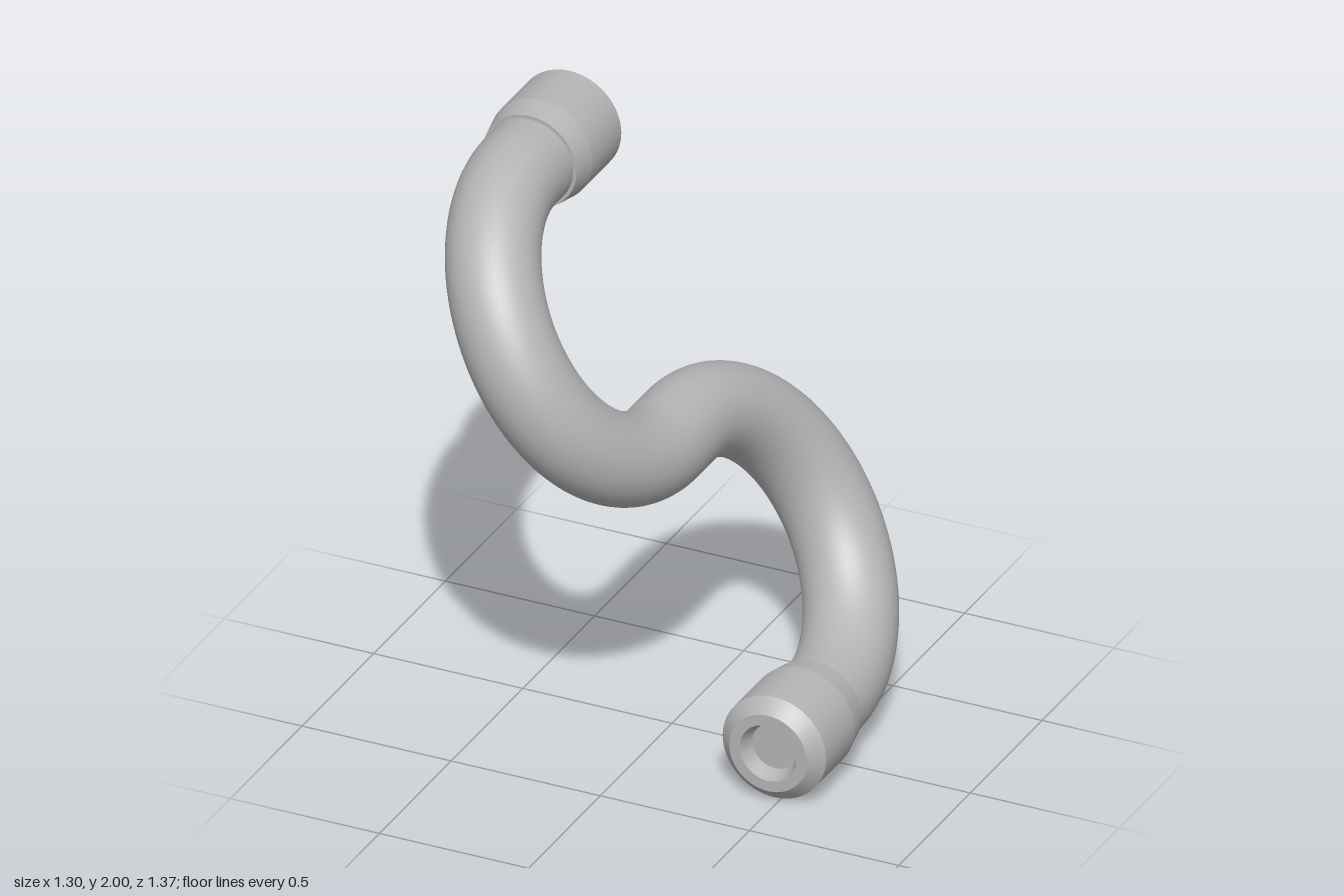
import * as THREE from 'three';
import { toCreasedNormals } from 'three/addons/utils/BufferGeometryUtils.js';

const BEND = 0.4775;     // bend radius of the centre line
const STRAIGHT = 0.062;  // straight run before and after each bend
const PIPE = 0.146;      // pipe radius
const TILT = Math.PI / 6; // lean of the S in the front plane

// S-shaped centre line: two half-circle bends in a tilted plane
class SCurve extends THREE.Curve {
  getPoint(t, target = new THREE.Vector3()) {
    const arc = Math.PI * BEND;
    const half = arc + 2 * STRAIGHT;
    const side = t < 0.5 ? -1 : 1; // lower bend goes to -z, upper to +z
    const d = (t < 0.5 ? t : t - 0.5) * 2 * half;
    let along, depth;
    if (d < STRAIGHT) {
      along = -BEND;
      depth = d;
    } else if (d < STRAIGHT + arc) {
      const a = (d - STRAIGHT) / BEND;
      along = -BEND * Math.cos(a);
      depth = STRAIGHT + BEND * Math.sin(a);
    } else {
      along = BEND;
      depth = half - d;
    }
    along += side * BEND;
    return target.set(-along * Math.sin(TILT), 1 + along * Math.cos(TILT), side * depth);
  }
}

// End fitting: tapered shoulder, sleeve, chamfer and shallow conical socket
function collarGeometry() {
  const profile = [
    [PIPE - 0.01, 0], [0.157, 0], [0.173, 0.08], [0.173, 0.28],
    [0.13, 0.324], [0.095, 0.324], [0.076, 0.274], [0, 0.274],
  ].map(([r, y]) => new THREE.Vector2(r, y));
  const geometry = new THREE.LatheGeometry(profile, 64);
  geometry.rotateX(Math.PI / 2);
  return toCreasedNormals(geometry, 0.15);
}

export function createModel() {
  const model = new THREE.Group();
  model.name = 'bentPipe';
  const steel = new THREE.MeshStandardMaterial({ color: 0xb4b4b4 });
  steel.name = 'grey steel';

  const curve = new SCurve();
  const pipe = new THREE.Mesh(new THREE.TubeGeometry(curve, 160, PIPE, 48), steel);
  pipe.name = 'pipe';
  model.add(pipe);

  // Matching fittings on the two open ends
  const geometry = collarGeometry();
  for (const [name, t, turn] of [['lowerCollar', 0, 0], ['upperCollar', 1, Math.PI]]) {
    const collar = new THREE.Mesh(geometry, steel);
    collar.name = name;
    collar.position.copy(curve.getPoint(t));
    collar.rotation.y = turn;
    model.add(collar);
  }
  return model;
}
